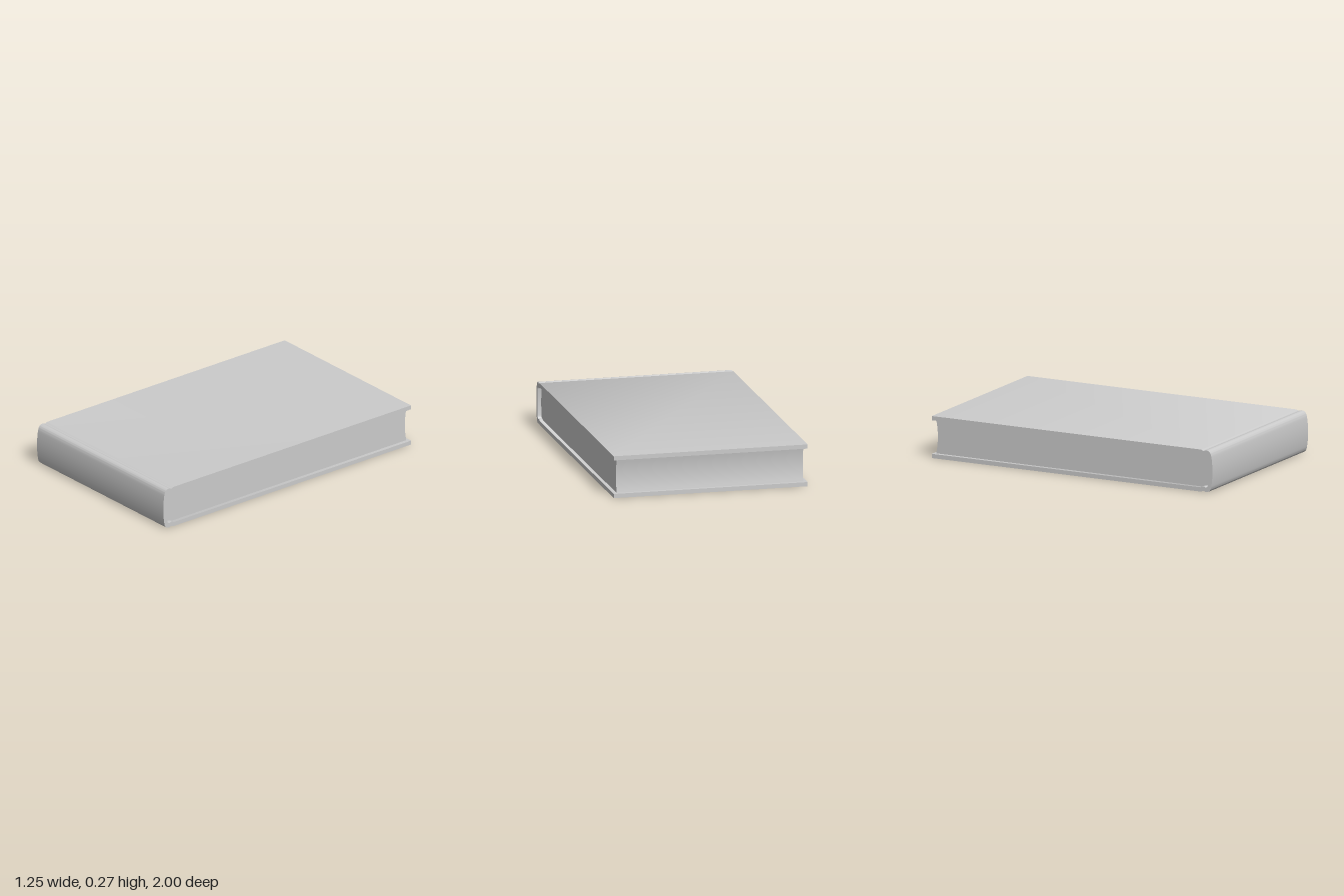
import * as THREE from 'three';
import { toCreasedNormals } from 'three/addons/utils/BufferGeometryUtils.js';

const HEIGHT = 0.27;
const MID = HEIGHT / 2;
const material = new THREE.MeshStandardMaterial({ color: 0xcccccc });

// Extrude a (z, y) profile along x, centred on x = 0
function extrudeAcross(shape, width, name) {
  let geometry = new THREE.ExtrudeGeometry(shape, { depth: width, bevelEnabled: false, curveSegments: 10 });
  geometry.translate(0, 0, -width / 2);
  geometry.rotateY(-Math.PI / 2);
  geometry = toCreasedNormals(geometry, 0.6);
  const mesh = new THREE.Mesh(geometry, material);
  mesh.name = name;
  return mesh;
}

// Wraparound case: lower board, hinge groove, rounded spine, upper board
function coverShape() {
  const s = new THREE.Shape();
  const T = HEIGHT;
  // outside
  s.moveTo(-1, 0);
  s.lineTo(0.92, 0);
  s.quadraticCurveTo(0.936, 0.012, 0.95, 0.001);
  s.bezierCurveTo(0.978, 0, 0.988, 0.015, 0.993, 0.045);
  s.quadraticCurveTo(1.007, MID, 0.993, T - 0.045);
  s.bezierCurveTo(0.988, T - 0.015, 0.978, T, 0.95, T - 0.001);
  s.quadraticCurveTo(0.936, T - 0.012, 0.92, T);
  s.lineTo(-1, T);
  // inside
  s.lineTo(-1, T - 0.027);
  s.lineTo(0.915, T - 0.027);
  s.quadraticCurveTo(0.936, T - 0.042, 0.95, T - 0.03);
  s.quadraticCurveTo(0.967, T - 0.03, 0.969, T - 0.055);
  s.quadraticCurveTo(0.979, MID, 0.969, 0.055);
  s.quadraticCurveTo(0.967, 0.03, 0.95, 0.03);
  s.quadraticCurveTo(0.936, 0.042, 0.915, 0.027);
  s.lineTo(-1, 0.027);
  s.closePath();
  return s;
}

// Page block: hollow fore edge at the back, rounded at the spine
function pagesShape() {
  const bottom = 0.028, top = HEIGHT - 0.028;
  const s = new THREE.Shape();
  s.moveTo(-0.98, bottom);
  s.lineTo(0.91, bottom);
  s.quadraticCurveTo(0.928, 0.036, 0.955, 0.038);
  s.quadraticCurveTo(0.975, MID, 0.955, HEIGHT - 0.038);
  s.quadraticCurveTo(0.928, HEIGHT - 0.036, 0.91, top);
  s.lineTo(-0.98, top);
  s.quadraticCurveTo(-0.958, MID, -0.98, bottom);
  return s;
}

export function createModel() {
  const book = new THREE.Group();
  book.name = 'book';
  book.add(extrudeAcross(coverShape(), 1.25, 'cover'));
  book.add(extrudeAcross(pagesShape(), 1.205, 'pages'));
  return book;
}
